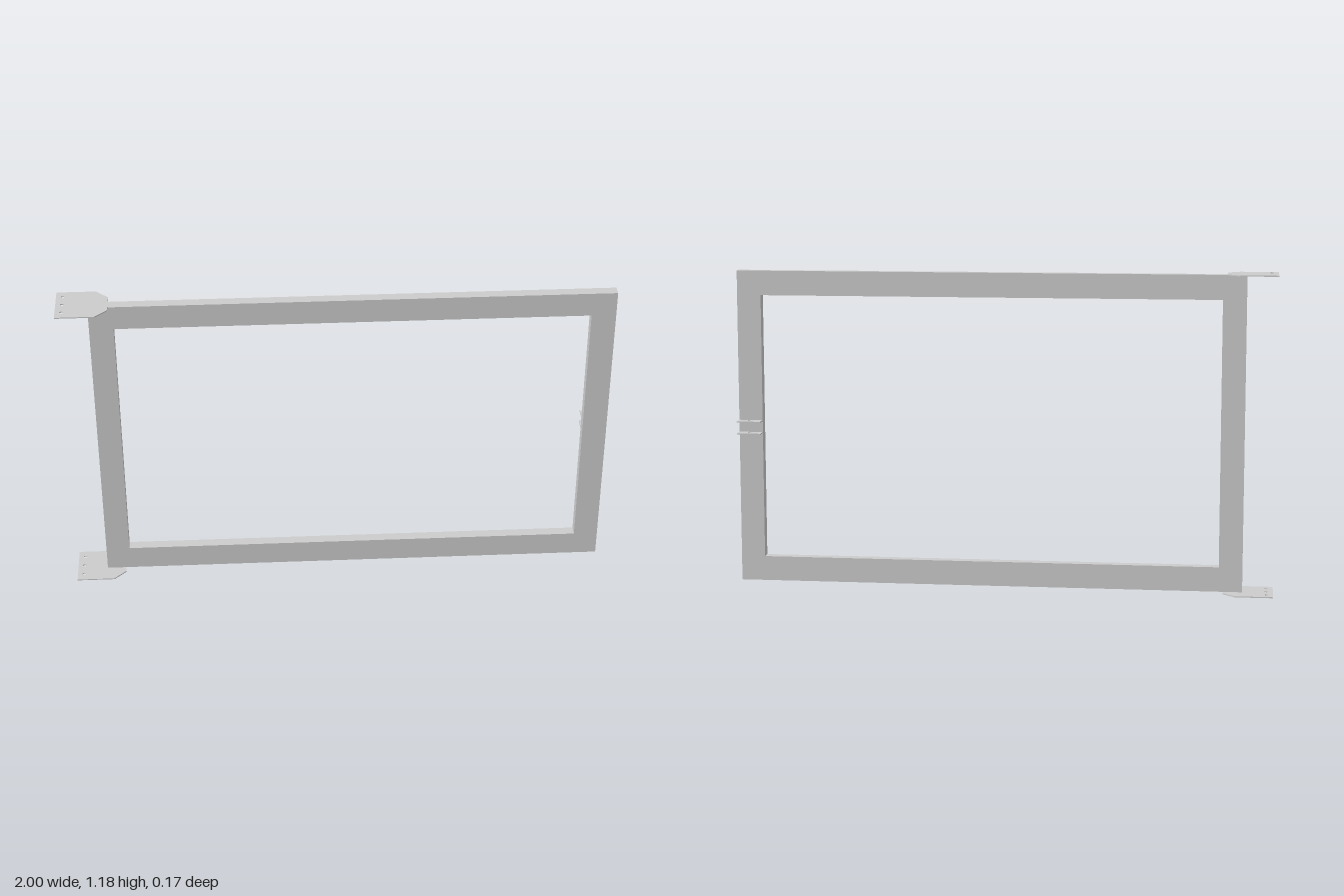
import * as THREE from 'three';

const material = new THREE.MeshStandardMaterial({ color: 0xcccccc, flatShading: true });
const PLATE = 0.004; // sheet thickness

function polygon(points, PathType = THREE.Shape) {
  return new PathType(points.map(([x, y]) => new THREE.Vector2(x, y)));
}

function rectangle(x0, y0, x1, y1, PathType) {
  return polygon([[x0, y0], [x1, y0], [x1, y1], [x0, y1]], PathType);
}

function extrude(name, shape, depth) {
  const geometry = new THREE.ExtrudeGeometry(shape, { depth, bevelEnabled: false, curveSegments: 16 });
  const mesh = new THREE.Mesh(geometry, material);
  mesh.name = name;
  return mesh;
}

// Horizontal drilled sheet: outline and holes are given as [x, -z], y is its underside
function sheet(name, outline, holes, radius, y) {
  const shape = polygon(outline);
  for (const [hx, hy] of holes) {
    shape.holes.push(new THREE.Path().absarc(hx, hy, radius, 0, Math.PI * 2, true));
  }
  const mesh = extrude(name, shape, PLATE);
  mesh.rotation.x = -Math.PI / 2;
  mesh.position.y = y;
  return mesh;
}

export function createModel() {
  const group = new THREE.Group();
  group.name = 'gateFrame';

  // Rectangular frame, open in the middle
  const outline = rectangle(-0.887, PLATE, 0.997, 1.176);
  outline.holes.push(rectangle(-0.8, 0.096, 0.908, 1.085, THREE.Path));
  const frame = extrude('frame', outline, 0.038);
  frame.position.z = -0.019;
  group.add(frame);

  // Mounting plates above and below the hinge post, with clipped inner corners
  const plateOutline = [
    [-1, -0.085], [-0.86, -0.085], [-0.816, -0.043],
    [-0.816, 0.043], [-0.86, 0.085], [-1, 0.085],
  ];
  const plateHoles = [-0.052, 0, 0.052].map((z) => [-0.976, z]);
  group.add(sheet('lowerMountingPlate', plateOutline, plateHoles, 0.007, 0));
  group.add(sheet('upperMountingPlate', plateOutline, plateHoles, 0.007, 1.176));

  // Pair of latch lugs behind the free post
  const lugOutline = [[0.908, 0.019], [0.997, 0.019], [0.997, 0.063], [0.908, 0.063]];
  for (const [name, y] of [['lowerLatchLug', 0.567], ['upperLatchLug', 0.612]]) {
    group.add(sheet(name, lugOutline, [[0.953, 0.043]], 0.007, y));
  }

  return group;
}
